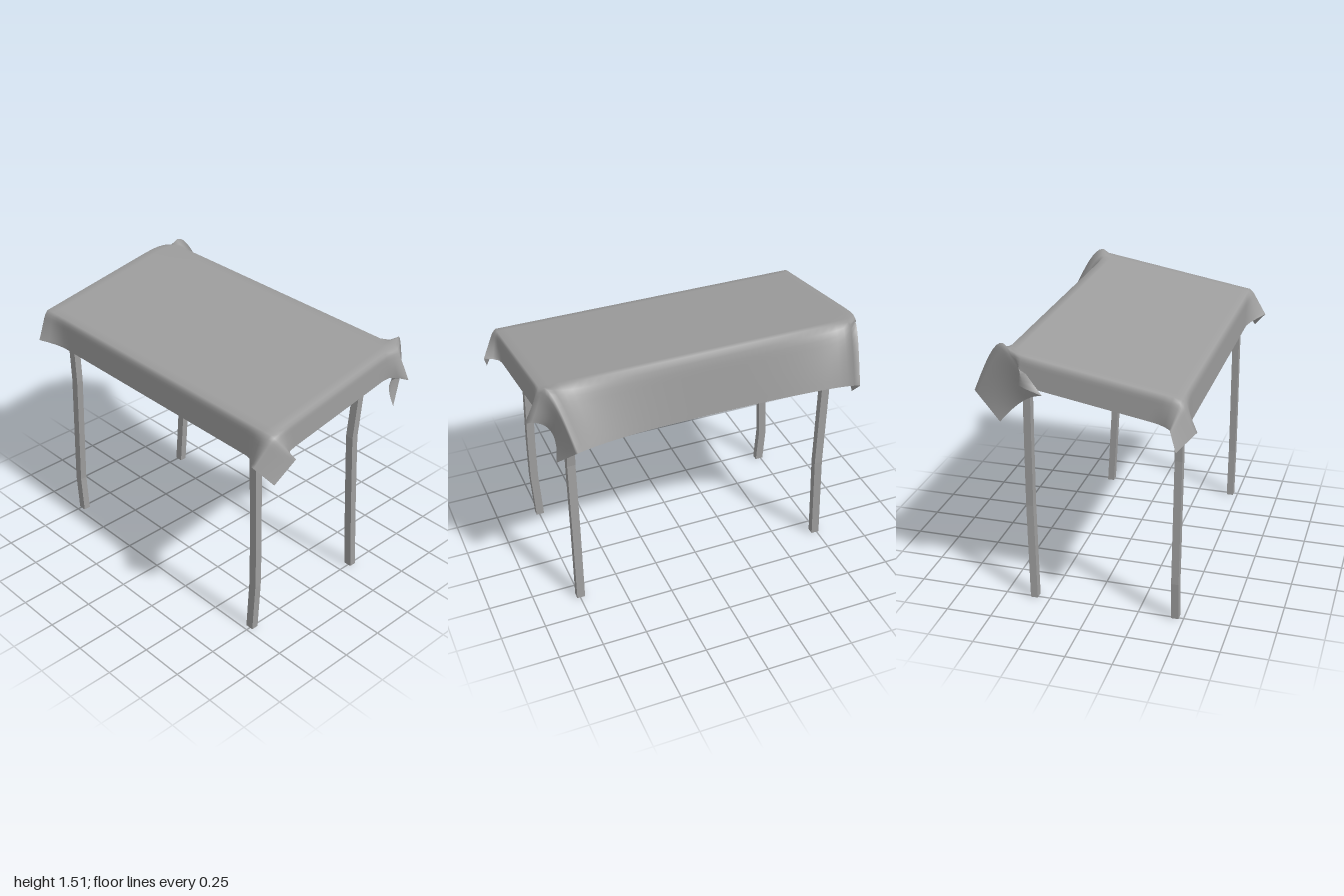
import * as THREE from 'three';

const { lerp, clamp } = THREE.MathUtils;
const V = (x, y, z) => new THREE.Vector3(x, y, z);
const X = 0.893, ZF = 0.5, ZB = -0.393;    // flat roof panel limits
const NX = 36, NZ = 22, NS = 10;           // roof and skirt divisions
const GREY = 0x9e9e9e;

// Each corner: end of front/back hem, end of side hem, free tip of the cloth,
// and how far the free edge between side hem and tip is tucked in
const corners = {
  frontLeft: { hem: V(0.87, 1.18, 0.605), side: V(0.99, 1.20, 0.42), tip: V(0.955, 1.08, 0.53), tuck: V(0, 0, 0) },
  frontRight: { hem: V(-0.89, 1.16, 0.58), side: V(-0.985, 1.20, 0.465), tip: V(-1.0, 1.09, 0.5), tuck: V(0, 0, 0) },
  backLeft: { hem: V(0.785, 1.21, -0.61), side: V(0.99, 1.31, -0.405), tip: V(0.86, 1.07, -0.465), tuck: V(-0.06, 0.05, 0.02) },
  backRight: { hem: V(-0.79, 1.21, -0.61), side: V(-0.955, 1.29, -0.185), tip: V(-0.835, 1.07, -0.46), tuck: V(0.03, 0.03, 0) },
};
const cornerAt = (sx, sz) => corners[(sz > 0 ? 'front' : 'back') + (sx > 0 ? 'Left' : 'Right')];

// Sloping roof point; a and b run from -1 to 1. The back right corner is pulled in.
function roof(a, b) {
  const z = lerp(ZB, ZF, (b + 1) / 2);
  const pull = (Math.max(0, -a) * Math.max(0, -b)) ** 10;
  return V(a * X + 0.055 * pull, 1.325 + (ZF - z) * 0.175 - 0.01 * pull, z);
}

// Undisturbed hem plus a flare that grows toward the two ends
function frontBackHem(a, sz) {
  const offset = sz > 0 ? V(0, -0.185, 0.012) : V(0, -0.36, -0.047);
  const end = roof(Math.sign(a), sz).add(offset);
  const w = sz > 0 ? clamp((Math.abs(a) - 0.83) / 0.17, 0, 1) ** 1.6 : Math.abs(a) ** 2.5;
  const flare = cornerAt(a, sz).hem.clone().sub(end);
  return roof(a, sz).add(offset).addScaledVector(flare, w);
}
function sideHem(b, sx) {
  const offset = V(sx * 0.014, -0.15, -0.03);
  const end = roof(sx, Math.sign(b)).add(offset);
  const w = clamp((Math.abs(b) - 0.76) / 0.24, 0, 1) ** 1.8;
  return roof(sx, b).add(offset).addScaledVector(cornerAt(sx, b).side.clone().sub(end), w);
}

// Rounded bulge where the cloth turns over the frame
const bulge = (s) => 0.011 * Math.min(1, s * 6) ** 0.6 * (1 - s);

function clothPoint(a, b, s, t) {
  // s: way down the front/back skirt, t: way down a side skirt
  const sx = Math.sign(a), sz = Math.sign(b);
  const p = roof(a, b);
  if (s > 0 && t > 0) {
    const c = cornerAt(sx, sz);
    p.multiplyScalar((1 - s) * (1 - t))
      .addScaledVector(c.hem, s * (1 - t))
      .addScaledVector(c.side, (1 - s) * t)
      .addScaledVector(c.tip, s * t)
      .addScaledVector(c.tuck, 4 * s * (1 - s) * t);
  } else if (s > 0) p.lerp(frontBackHem(a, sz), s);
  else if (t > 0) p.lerp(sideHem(b, sx), t);
  p.z += sz * bulge(s) * (1 - t);
  p.x += sx * bulge(t) * (1 - s);
  // Cloth stands up in a puff at the ends of the back skirt
  if (sz < 0) p.y += 0.09 * Math.sin(Math.PI * s ** 0.7) * Math.abs(a) ** 12 * (1 - t) ** 2;
  return p;
}

// Grid index to roof coordinate and skirt fraction
function split(i, n) {
  const k = i - NS;
  if (k < 0) return [-1, -k / NS];
  if (k > n) return [1, (k - n) / NS];
  return [2 * k / n - 1, 0];
}

function buildCloth() {
  const cols = NX + 2 * NS, rows = NZ + 2 * NS, pos = [], index = [];
  for (let j = 0; j <= rows; j++) {
    const [b, s] = split(j, NZ);
    for (let i = 0; i <= cols; i++) {
      const [a, t] = split(i, NX);
      pos.push(...clothPoint(a, b, s, t).toArray());
      if (i < cols && j < rows) {
        const p = j * (cols + 1) + i, q = p + cols + 1;
        index.push(p, q, p + 1, p + 1, q, q + 1);
      }
    }
  }
  const g = new THREE.BufferGeometry();
  g.setAttribute('position', new THREE.Float32BufferAttribute(pos, 3));
  g.setIndex(index);
  g.computeVertexNormals();
  return g;
}

// Crooked pole: a square bar whose rings follow the given points
function buildPole(points) {
  const n = points.length - 1;
  const g = new THREE.BoxGeometry(0.046, 1, 0.04, 1, n, 1);
  const p = g.attributes.position;
  for (let i = 0; i < p.count; i++) {
    const [x, y, z] = points[Math.round((p.getY(i) + 0.5) * n)];
    p.setXYZ(i, p.getX(i) + x, y, p.getZ(i) + z);
  }
  return g;
}

export function createModel() {
  const group = new THREE.Group();
  const clothMaterial = new THREE.MeshStandardMaterial({ color: GREY, side: THREE.DoubleSide });
  const poleMaterial = new THREE.MeshStandardMaterial({ color: GREY, flatShading: true });
  const add = (name, geometry, material) => {
    const mesh = new THREE.Mesh(geometry, material);
    mesh.name = name;
    group.add(mesh);
  };

  add('clothCanopy', buildCloth(), clothMaterial);

  const poles = {
    frontLeftPole: [[0.745, 0, 0.455], [0.762, 0.3, 0.455], [0.762, 0.55, 0.455], [0.745, 1.32, 0.455]],
    frontRightPole: [[-0.74, 0, 0.455], [-0.755, 0.22, 0.455], [-0.722, 0.92, 0.455], [-0.735, 1.32, 0.455]],
    backLeftPole: [[0.745, 0, -0.337], [0.74, 0.45, -0.31], [0.738, 0.9, -0.285], [0.742, 1.46, -0.34]],
    backRightPole: [[-0.74, 0, -0.337], [-0.712, 0.55, -0.355], [-0.72, 0.9, -0.35], [-0.735, 1.46, -0.34]],
  };
  for (const [name, points] of Object.entries(poles)) add(name, buildPole(points), poleMaterial);
  return group;
}
